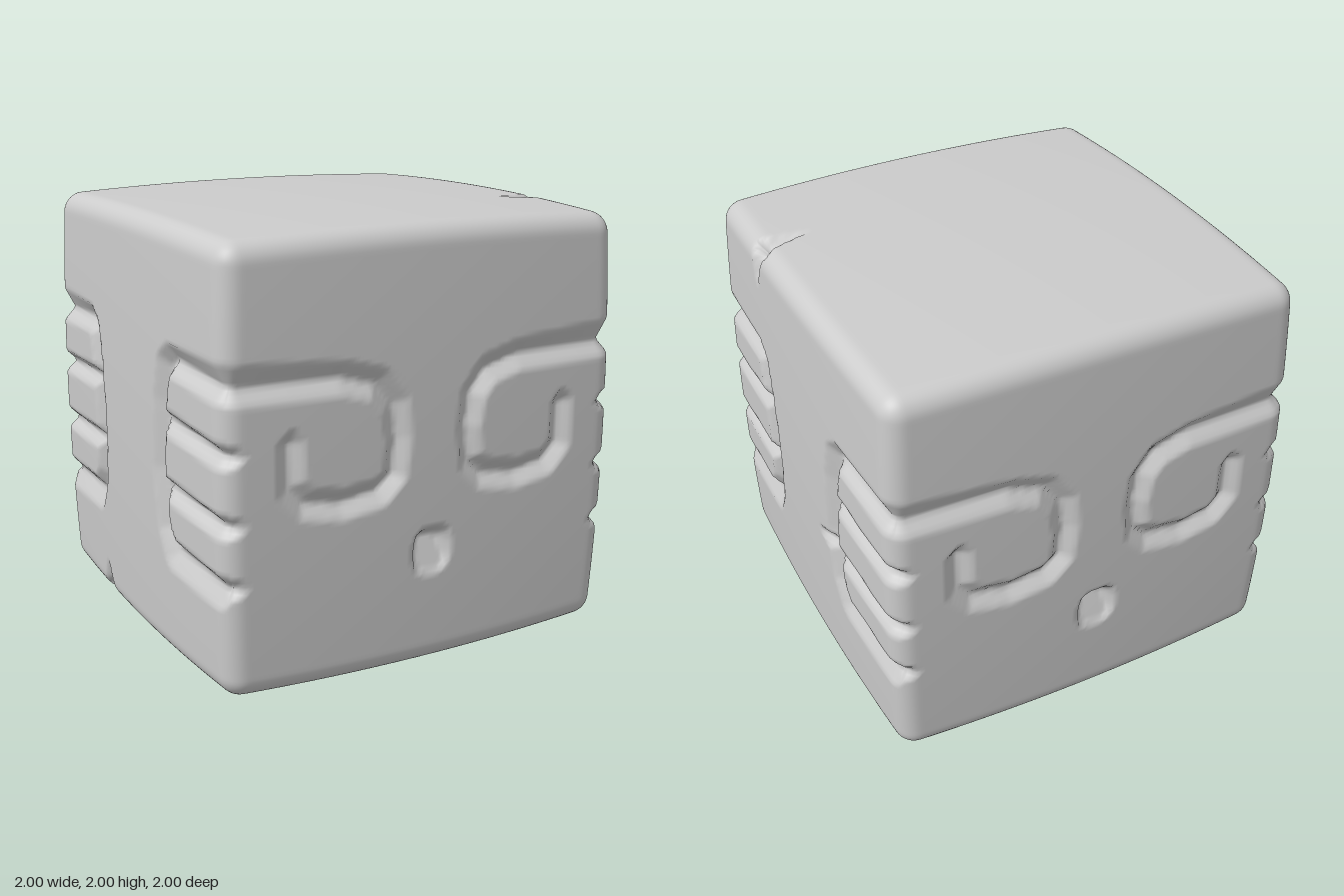
import * as THREE from 'three';
import { mergeVertices } from 'three/addons/utils/BufferGeometryUtils.js';

const SEGMENTS = 108, ROUND = 0.09, BULGE = 0.024, DEPTH = 0.055;

// Groove centre lines as [distance from the middle, height, outer half width]
const eye = [[1, 1.4, 0.11], [0.45, 1.388, 0.075], [0.28, 1.34, 0.075], [0.2, 1.24, 0.07], [0.18, 1.09, 0.06],
  [0.195, 0.93, 0.06], [0.27, 0.865, 0.07], [0.45, 0.838, 0.07], [0.62, 0.865, 0.07], [0.69, 0.94, 0.065],
  [0.695, 1.13, 0.06], [0.69, 1.17, 0.03]];
const spine = [[1, 1.4, 0.11], [0.5, 1.42, 0.08], [0.44, 1.38, 0.08], [0.4, 1.21, 0.08], [0.375, 0.9, 0.08],
  [0.41, 0.64, 0.08], [0.48, 0.55, 0.1], [0.93, 0.525, 0.1], [1, 0.52, 0.06]];
const fingers = [[[1, 1.115, 0.055], [0.4, 1.145, 0.055]], [[1, 0.805, 0.055], [0.38, 0.835, 0.055]]];
const fingerTips = [1.115, 0.805, 0.525].map(y => [[1, y, 0.055], [0.95, y, 0.045], [0.895, y, 0.008]]);
const crack = [[-0.36, 0.83, 0.07], [-0.19, 0.825, 0.004]];

// Depth of a V-shaped groove along a polyline; the side right of travel may be wider
function groove(path, inner, u, v) {
  let depth = 0;
  for (let i = 0; i < path.length - 1; i++) {
    const [ax, ay, aw] = path[i], [bx, by, bw] = path[i + 1];
    const dx = bx - ax, dy = by - ay;
    const t = THREE.MathUtils.clamp(((u - ax) * dx + (v - ay) * dy) / (dx * dx + dy * dy), 0, 1);
    const ox = u - ax - dx * t, oy = v - ay - dy * t;
    const outer = aw + (bw - aw) * t;
    const width = dx * oy - dy * ox < 0 ? outer : Math.min(inner, outer);
    depth = Math.max(depth, DEPTH * Math.min(1, outer / 0.055) * (1 - Math.hypot(ox, oy) / width));
  }
  return depth;
}

// Scooped nose, deepest at its upper edge
function nose(x, y) {
  const r = Math.pow(Math.pow(Math.abs(x) / 0.098, 3) + Math.pow(Math.abs(y - 0.55) / 0.112, 3), 1 / 3);
  return r >= 1 ? 0 : Math.min(0.16 * (1 - r), 0.012 + 0.075 * (y - 0.44) / 0.22);
}

// Wedge broken out of a horizontal edge
function chip(across, down, along, width, lengthAcross, lengthDown, depth) {
  return depth * (1 - Math.abs(along) / width - across / lengthAcross - down / lengthDown);
}

// Total carving depth at a point of the plain cube
function carve(p) {
  const y = p.y + 1, x = Math.abs(p.x), z = Math.abs(p.z);
  let d = 0;
  if (z > 0.9999) {
    d = Math.max(d, groove(eye, 0.068, x, y), nose(x, y));
    for (const tip of fingerTips) d = Math.max(d, groove(tip, 0.055, x, y));
  }
  if (x > 0.9999) {
    d = Math.max(d, groove(spine, 0.062, z, y));
    for (const finger of fingers) d = Math.max(d, groove(finger, 0.055, z, y));
    if (p.x > 0) d = Math.max(d, groove(crack, 0.07, p.z, y));
  }
  return Math.max(d,
    chip(1 - p.x, 1 - p.y, p.z - 0.43, 0.08, 0.27, 0.21, 0.09),
    chip(1 + p.x, 1 + p.y, p.z + 0.42, 0.09, 0.16, 0.2, 0.08));
}

export function createModel() {
  let geometry = new THREE.BoxGeometry(2, 2, 2, SEGMENTS, SEGMENTS, SEGMENTS);
  geometry.deleteAttribute('normal');
  geometry.deleteAttribute('uv');
  geometry = mergeVertices(geometry, 1e-4);

  const pos = geometry.attributes.position;
  const p = new THREE.Vector3(), core = new THREE.Vector3(), normal = new THREE.Vector3();
  const limit = 1 - ROUND;
  for (let i = 0; i < pos.count; i++) {
    p.fromBufferAttribute(pos, i);
    const depth = carve(p);
    // round the edges, then press the carving inwards
    core.copy(p).clampScalar(-limit, limit);
    normal.copy(p).sub(core).normalize();
    p.copy(core).addScaledVector(normal, ROUND - depth);
    // bulge every face towards its middle
    const xx = p.x * p.x, yy = p.y * p.y, zz = p.z * p.z;
    pos.setXYZ(i, p.x * (1 - BULGE * (yy + zz)), p.y * (1 - BULGE * (xx + zz)) + 1, p.z * (1 - BULGE * (xx + yy)));
  }
  geometry.computeVertexNormals();

  const block = new THREE.Mesh(geometry, new THREE.MeshStandardMaterial({ color: 0xcccccc }));
  block.name = 'carvedStoneBlock';
  const group = new THREE.Group();
  group.name = 'stoneHead';
  group.add(block);
  return group;
}
